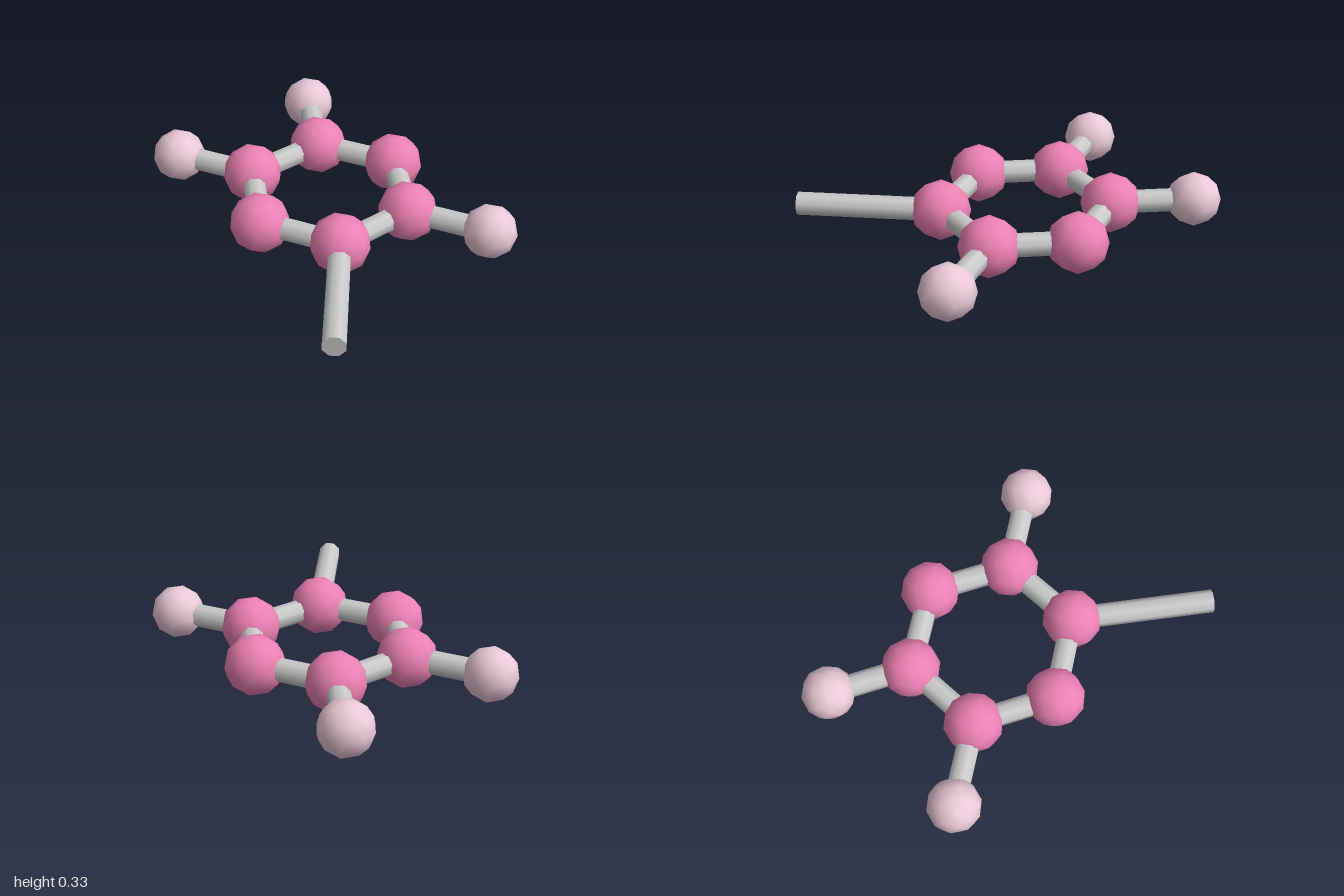
import * as THREE from 'three';
import { mergeVertices } from 'three/addons/utils/BufferGeometryUtils.js';

const Y = 0.17;                       // height of the flat molecule's plane
const CENTRE = new THREE.Vector3(0.077, Y, -0.05);
const RING = 0.465;

const grey = new THREE.MeshStandardMaterial({ color: 0xcccccc });
const pink = new THREE.MeshStandardMaterial({ color: 0xee82b6 });
const pale = new THREE.MeshStandardMaterial({ color: 0xeccbd9 });

// Low-poly icosphere with a vertex at each pole and smooth normals
function ballGeometry(radius) {
  let g = new THREE.IcosahedronGeometry(radius, 1);
  g.deleteAttribute('uv');
  g.deleteAttribute('normal');
  g = mergeVertices(g);
  g.rotateZ(-Math.atan(2 / (1 + Math.sqrt(5))));
  g.computeVertexNormals();
  return g;
}

// Position at a multiple of 60 degrees around the ring
function spot(i, radius) {
  const a = (i * Math.PI) / 3;
  return new THREE.Vector3(Math.cos(a) * radius, 0, Math.sin(a) * radius).add(CENTRE);
}

export function createModel() {
  const model = new THREE.Group();
  model.name = 'moleculeRing';

  const ringBall = ballGeometry(0.165);
  const outerBall = ballGeometry(0.149);

  function addBall(name, geometry, material, position) {
    const mesh = new THREE.Mesh(geometry, material);
    mesh.name = name;
    mesh.position.copy(position);
    model.add(mesh);
  }

  // Eight-sided rod between two points, flat side up
  function addBond(name, from, to) {
    const dir = to.clone().sub(from);
    const g = new THREE.CylinderGeometry(0.064, 0.064, dir.length(), 8);
    g.rotateY(Math.PI / 8);
    g.rotateX(Math.PI / 2);
    const mesh = new THREE.Mesh(g, grey);
    mesh.name = name;
    mesh.position.copy(from).add(to).multiplyScalar(0.5);
    mesh.lookAt(to);
    model.add(mesh);
  }

  // Hexagonal ring of atoms and the bonds joining them
  for (let i = 0; i < 6; i++) {
    addBall('ringAtom' + (i + 1), ringBall, pink, spot(i, RING));
    addBond('ringBond' + (i + 1), spot(i, RING), spot(i + 1, RING));
  }

  // Outer atoms on three of the corners
  for (const i of [1, 4, 5]) {
    addBall('outerAtom' + i, outerBall, pale, spot(i, RING * 2));
    addBond('outerBond' + i, spot(i, RING), spot(i, RING * 2));
  }

  // Long open-ended bond from the front right corner
  addBond('longBond', spot(2, RING), new THREE.Vector3(-0.665, Y, 0.957));

  return model;
}
